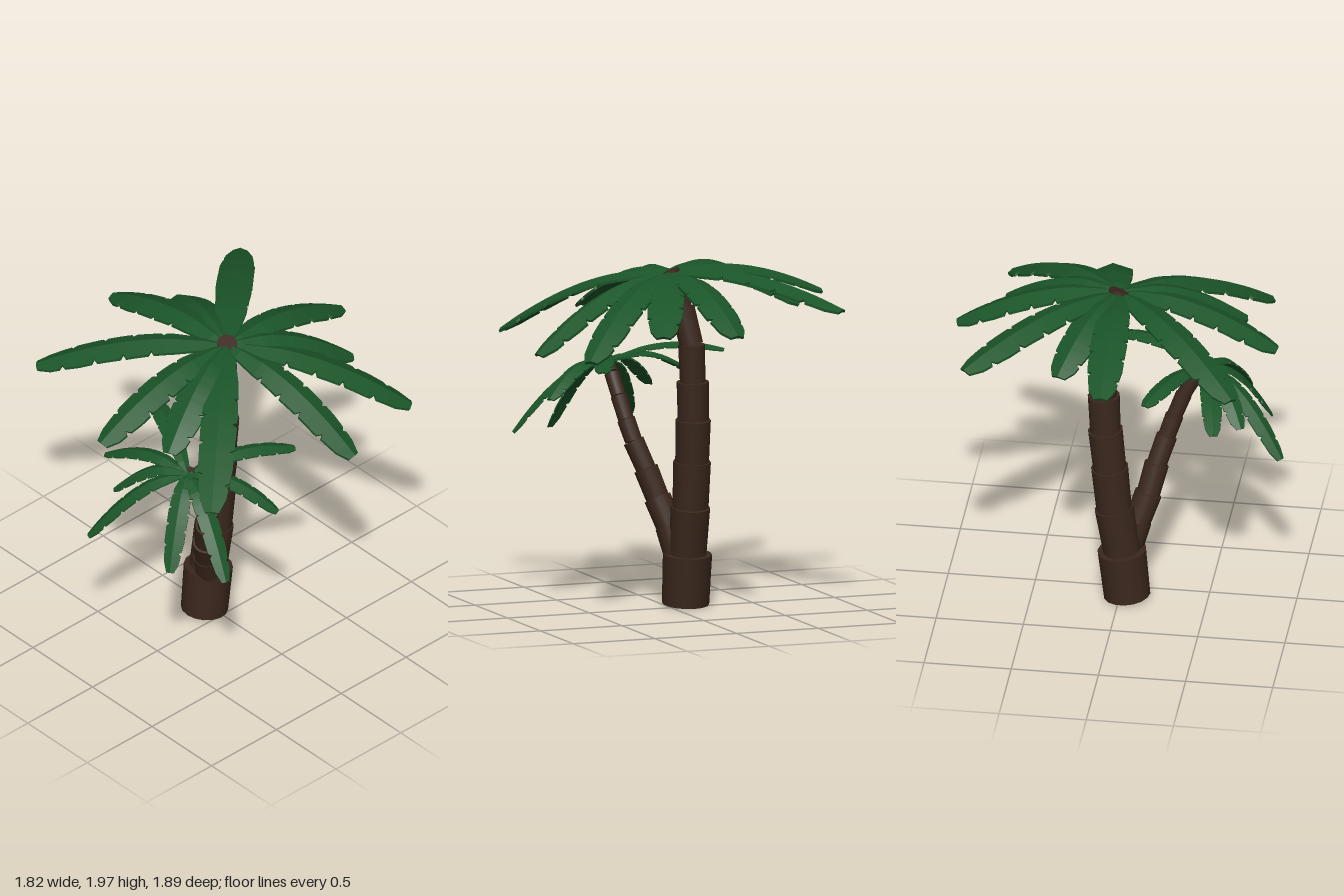
import * as THREE from 'three';

const V = (x, y, z) => new THREE.Vector3(x, y, z);
const bark = new THREE.MeshStandardMaterial({ color: 0x3a271d });
const leaf = new THREE.MeshStandardMaterial({ color: 0x1b5529, flatShading: true });

// Stack of stubby cylinders along [x, y, z, radius] joints, each flaring slightly upward
function makeTrunk(name, joints) {
  const trunk = new THREE.Group();
  trunk.name = name;
  for (let i = 0; i < joints.length - 1; i++) {
    const a = V(...joints[i]), b = V(...joints[i + 1]);
    const r = joints[i][3], dir = b.clone().sub(a);
    const length = dir.length();
    const seg = new THREE.Mesh(new THREE.CylinderGeometry(r, r * 0.96, length, 16), bark);
    seg.name = 'trunkSegment';
    seg.position.copy(a).add(b).multiplyScalar(0.5);
    seg.quaternion.setFromUnitVectors(V(0, 1, 0), dir.normalize());
    trunk.add(seg);
  }
  return trunk;
}

// Leaf outline: [position along the leaf, share of the full half-width]
const outline = [[0, 0.3], [0.12, 0.55], [0.3, 0.85], [0.55, 1], [0.8, 0.95], [0.94, 0.72], [1, 0.38]];
const notches = [[0.36, 0.52, 0.67, 0.83], [0.42, 0.57, 0.72, 0.88]];
const cut = 0.014;
const stations = [...new Set([
  ...outline.map((p) => p[0]),
  ...notches.flat().flatMap((n) => [n - cut, n, n + cut]),
])].sort((a, b) => a - b);

function halfWidth(t, side) {
  let i = 0;
  while (i < outline.length - 2 && t > outline[i + 1][0]) i++;
  const [t0, w0] = outline[i], [t1, w1] = outline[i + 1];
  const w = w0 + (w1 - w0) * (t - t0) / (t1 - t0);
  const notch = Math.max(0, ...notches[side].map((n) => 1 - Math.abs(t - n) / cut));
  return w * (1 - 0.28 * notch);
}

// Arched, notched slab with a raised midrib
function makeFrond(base, tip, width) {
  const flat = V(tip.x - base.x, 0, tip.z - base.z);
  const drop = tip.y - base.y;
  const bend = base.clone().addScaledVector(flat, 0.45);
  bend.y += 0.08 + 0.3 * (drop + 0.25);
  const curve = new THREE.QuadraticBezierCurve3(base, bend, tip);
  const side = flat.normalize().clone().cross(V(0, 1, 0));
  const thick = width * 0.14;
  const pos = [], index = [];
  stations.forEach((t, row) => {
    const c = curve.getPoint(t);
    const up = side.clone().cross(curve.getTangent(t)).normalize();
    const l = halfWidth(t, 0) * width, r = halfWidth(t, 1) * width;
    const ring = [[l, -0.35 * l], [l, -0.35 * l - thick], [0, -thick * 1.3],
      [-r, -0.35 * r - thick], [-r, -0.35 * r], [0, 0]];
    for (const [s, u] of ring) {
      pos.push(...c.clone().addScaledVector(side, s).addScaledVector(up, u).toArray());
    }
    if (row === 0) return;
    const a = (row - 1) * 6, b = row * 6;
    for (let j = 0; j < 6; j++) {
      const k = (j + 1) % 6;
      index.push(a + j, a + k, b + k, a + j, b + k, b + j);
    }
  });
  // End caps
  const end = (stations.length - 1) * 6;
  for (const [j, k] of [[0, 1], [1, 2], [2, 3], [3, 4]]) {
    index.push(end + 5, end + j, end + k, 5, k, j);
  }
  const indexed = new THREE.BufferGeometry();
  indexed.setAttribute('position', new THREE.Float32BufferAttribute(pos, 3));
  indexed.setIndex(index);
  const geo = indexed.toNonIndexed();
  geo.computeVertexNormals();
  const frond = new THREE.Mesh(geo, leaf);
  frond.name = 'frond';
  return frond;
}

function makeCrown(name, centre, width, tips) {
  const crown = new THREE.Group();
  crown.name = name;
  for (const tip of tips) crown.add(makeFrond(V(...centre), V(...tip), width));
  return crown;
}

export function createModel() {
  const model = new THREE.Group();
  model.name = 'palmTrees';

  // Tall palm
  model.add(makeTrunk('tallTrunk', [
    [-0.105, 0.01, 0.04, 0.14], [-0.105, 0.3, 0.01, 0.112], [-0.105, 0.575, -0.035, 0.107],
    [-0.105, 0.84, -0.06, 0.1], [-0.102, 1.085, -0.085, 0.092], [-0.095, 1.305, -0.095, 0.076],
    [-0.085, 1.52, -0.1, 0.07], [-0.045, 1.73, -0.06, 0.058], [0.02, 1.94, -0.02, 0.05],
  ]));
  model.add(makeCrown('tallCrown', [0.02, 1.93, -0.02], 0.105, [
    [-0.03, 1.7, -0.95], [0.33, 1.68, -0.71], [0.79, 1.57, -0.74], [0.9, 1.54, -0.2],
    [0.74, 1.54, 0.76], [0.29, 1.67, 0.68], [-0.04, 1.67, 0.9], [-0.77, 1.74, 0.73],
    [-0.92, 1.78, 0], [-0.68, 1.76, -0.28], [-0.73, 1.79, -0.81],
  ]));

  // Short palm leaning out from the base of the tall one
  model.add(makeTrunk('shortTrunk', [
    [-0.055, 0.3, 0.05, 0.08], [-0.025, 0.45, 0.09, 0.078], [0.025, 0.61, 0.145, 0.07],
    [0.08, 0.775, 0.185, 0.06], [0.135, 0.93, 0.235, 0.052], [0.165, 1.05, 0.275, 0.047],
    [0.19, 1.18, 0.325, 0.044], [0.205, 1.3, 0.39, 0.04], [0.21, 1.36, 0.45, 0.034],
  ]));
  model.add(makeCrown('shortCrown', [0.21, 1.36, 0.46], 0.06, [
    [-0.12, 0.98, 0.93], [0.43, 0.95, 0.8], [0.72, 0.96, 0.63], [0.67, 1.21, 0.18],
    [0.47, 1.4, -0.13], [-0.4, 1.44, 0.18], [-0.36, 1.25, 0.57], [-0.15, 1.18, 0.7],
  ]));
  return model;
}
